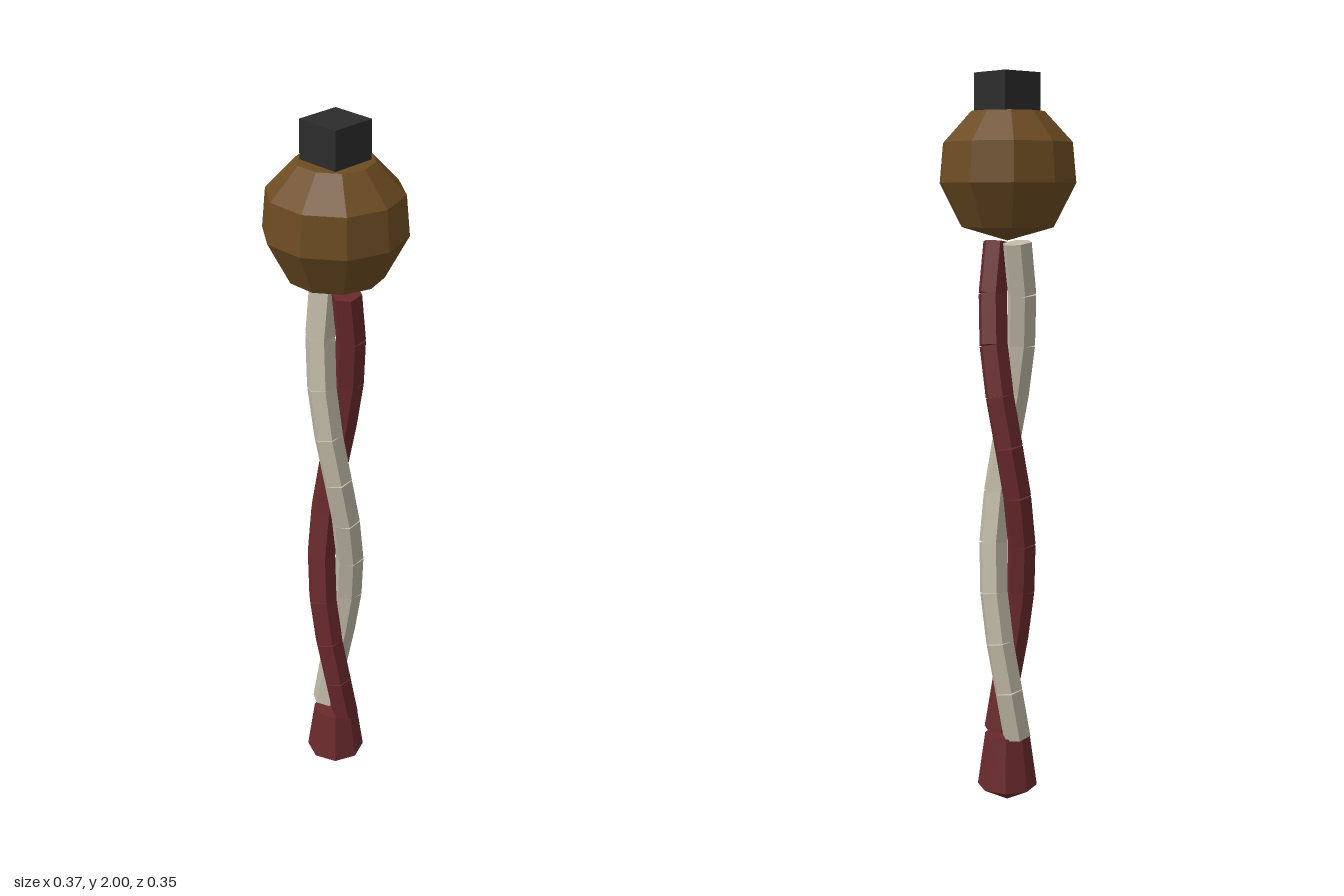
import * as THREE from 'three';

const paint = (name, color) => {
  const m = new THREE.MeshStandardMaterial({ color });
  m.name = name;
  return m;
};

// Faceted copy of a geometry, with one normal per face
const facet = (geometry) => {
  const g = geometry.index ? geometry.toNonIndexed() : geometry;
  g.computeVertexNormals();
  return g;
};

const part = (name, geometry, material) => {
  const mesh = new THREE.Mesh(facet(geometry), material);
  mesh.name = name;
  return mesh;
};

const lathe = (profile, sides) =>
  new THREE.LatheGeometry(profile.map(([r, y]) => new THREE.Vector2(r, y)), sides);

// One helical strand made of straight six-sided links
function strand(name, material, phase) {
  const group = new THREE.Group();
  group.name = name;
  const links = 10, bottom = 0.2, top = 1.56, radius = 0.04;
  const up = new THREE.Vector3(0, 1, 0);
  const point = (i) => {
    const a = phase + (i / links) * Math.PI * 2;
    return new THREE.Vector3(
      radius * Math.cos(a), bottom + (top - bottom) * i / links, radius * Math.sin(a));
  };
  for (let i = 0; i < links; i++) {
    const a = point(i), b = point(i + 1);
    const link = part(name + 'Link', new THREE.CylinderGeometry(0.04, 0.04, a.distanceTo(b), 6), material);
    link.position.copy(a).add(b).multiplyScalar(0.5);
    link.quaternion.setFromUnitVectors(up, b.sub(a).normalize());
    group.add(link);
  }
  return group;
}

export function createModel() {
  const brown = paint('brown wood', 0x6d4c22);
  const red = paint('dark red', 0x6a2a2c);
  const cream = paint('cream', 0xbfb8a5);
  const black = paint('charcoal', 0x2c2c2c);

  const model = new THREE.Group();
  model.name = 'twistedStaff';

  // Top block
  const cap = part('topBlock', new THREE.BoxGeometry(0.123, 0.1, 0.123), black);
  cap.position.y = 1.95;
  model.add(cap);

  // Ten-sided knob, corners on the x axis
  const knob = part('knob', lathe(
    [[0, 1.565], [0.125, 1.6], [0.185, 1.715], [0.175, 1.82], [0.1, 1.9], [0, 1.9]], 10), brown);
  knob.rotation.y = Math.PI / 2;
  model.add(knob);

  // Two strands winding round each other once
  model.add(strand('redStrand', red, 0), strand('creamStrand', cream, Math.PI));

  // Pointed foot
  model.add(part('foot', lathe([[0, 0.005], [0.083, 0.05], [0.062, 0.2], [0, 0.2]], 8), red));

  return model;
}
